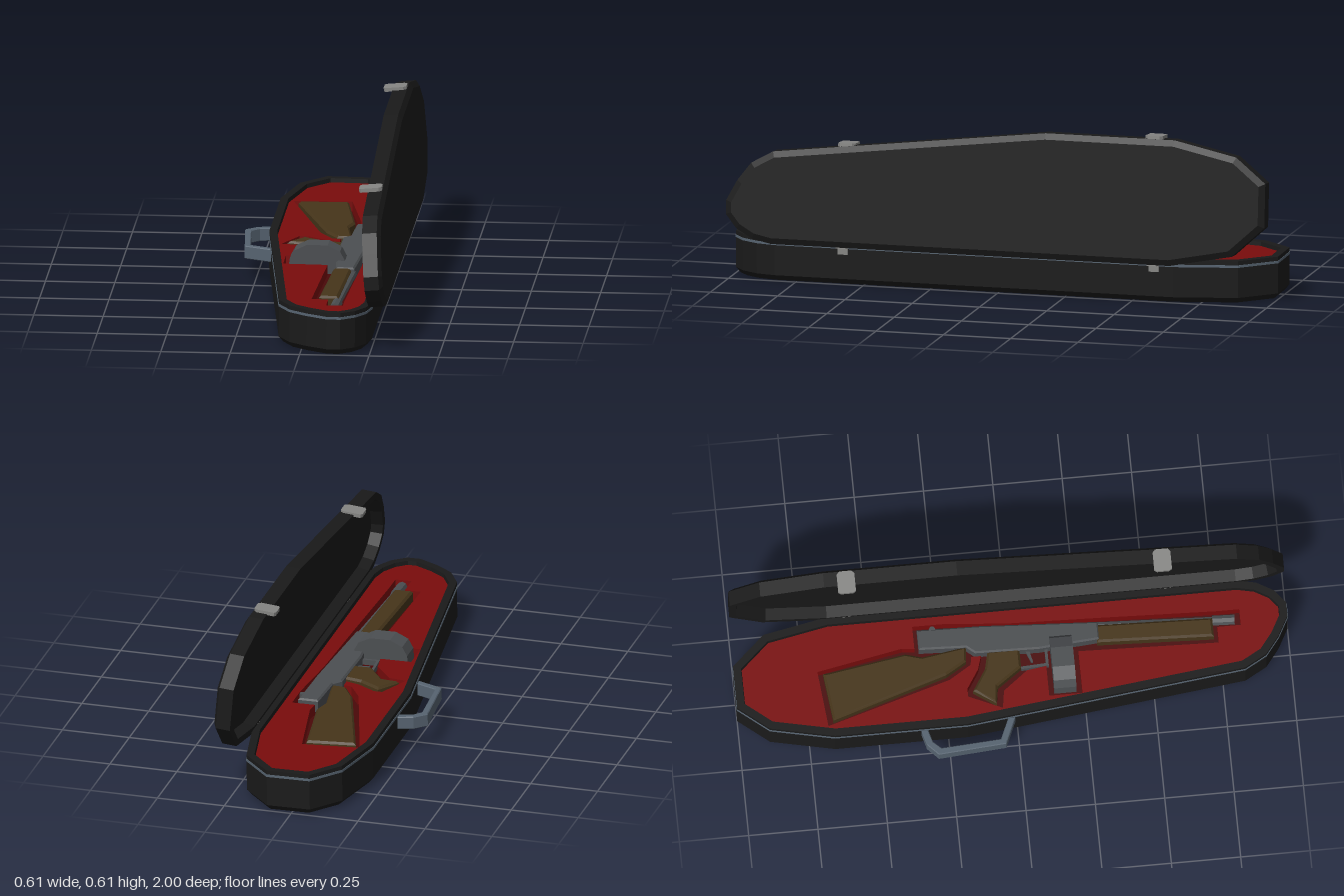
import * as THREE from 'three';

const mat = (color, extra = {}) => new THREE.MeshStandardMaterial({ color, flatShading: true, roughness: 0.9, ...extra });
const black = mat(0x1a1a1a), red = mat(0x7a0c0c), darkRed = mat(0x4a0808), wood = mat(0x46351a);
const metal = mat(0x4c4f52), steel = mat(0x566370), clasp = mat(0x858583);

// Plan outline of the case as [x, z]
const OUTLINE = [[-0.07, -1], [-0.16, -0.89], [-0.21, -0.66], [-0.21, -0.18], [-0.09, 0.83], [-0.045, 0.91],
  [0.02, 0.96], [0.095, 1], [0.145, 1], [0.195, 0.96], [0.23, 0.9], [0.245, 0.83], [0.245, -0.65], [0.2, -0.88], [0.09, -1]];

// Moves every edge of the outline inwards by d
function inset(points, d) {
  const n = points.length;
  const normal = (a, b) => {
    const dx = b[0] - a[0], dz = b[1] - a[1], l = Math.hypot(dx, dz);
    return [dz / l, -dx / l];
  };
  return points.map((p, i) => {
    const a = normal(points[(i + n - 1) % n], p), b = normal(p, points[(i + 1) % n]);
    const k = d / (1 + a[0] * b[0] + a[1] * b[1]);
    return [p[0] + (a[0] + b[0]) * k, p[1] + (a[1] + b[1]) * k];
  });
}

// Skins a list of [inset, height] rings and closes both ends
function shell(profile, capped = true) {
  const rings = profile.map(([d, y]) => inset(OUTLINE, d).map(([x, z]) => [x, y, z]));
  const pos = [], n = OUTLINE.length, last = rings.length - 1;
  const tri = (...v) => v.forEach((p) => pos.push(...p));
  for (let i = 0; i < n; i++) {
    const j = (i + 1) % n;
    for (let r = 0; r < last; r++) {
      const a = rings[r], b = rings[r + 1];
      tri(a[i], a[j], b[j]);
      tri(a[i], b[j], b[i]);
    }
    if (capped) {
      tri([0.04, profile[0][1], 0], rings[0][j], rings[0][i]);
      tri([0.04, profile[last][1], 0], rings[last][i], rings[last][j]);
    }
  }
  const g = new THREE.BufferGeometry();
  g.setAttribute('position', new THREE.Float32BufferAttribute(pos, 3));
  g.computeVertexNormals();
  return g;
}

// Raises a plan shape of [x, z] points from y0 to y1, with an optional bevel
function plate(points, y0, y1, bevel = 0, hole = null) {
  const vec = (list) => list.map(([x, z]) => new THREE.Vector2(x, -z));
  const shape = new THREE.Shape(vec(points));
  if (hole) shape.holes.push(new THREE.Path(vec(hole)));
  const g = new THREE.ExtrudeGeometry(shape, {
    depth: y1 - y0 - 2 * bevel, bevelEnabled: bevel > 0, bevelSize: bevel,
    bevelThickness: bevel, bevelOffset: -bevel, bevelSegments: 1,
  });
  return g.rotateX(-Math.PI / 2).translate(0, y0 + bevel, 0);
}

function add(parent, name, geometry, material, x = 0, y = 0, z = 0) {
  const m = new THREE.Mesh(geometry, material);
  m.name = name;
  m.position.set(x, y, z);
  parent.add(m);
  return m;
}

function buildBase() {
  const base = new THREE.Group();
  base.name = 'base';
  add(base, 'baseShell', shell([[0.017, 0], [0, 0.02], [0, 0.155], [0.028, 0.155], [0.034, 0.095]]), black);
  add(base, 'seamStrip', shell([[0, 0.131], [-0.002, 0.131], [-0.002, 0.14], [0, 0.14]], false), steel);

  // Lining with a recess that follows the contents
  const recess = [[-0.165, -0.68], [0.045, -0.7], [0.105, -0.39], [0.1, -0.345], [0.185, -0.345], [0.185, -0.24],
    [0.165, 0], [0.155, 0.33], [0.14, 0.75], [0.14, 0.83], [0.08, 0.83], [0.08, 0.745], [0.02, 0.745], [0.035, 0.24],
    [-0.125, 0.24], [-0.125, 0.12], [-0.01, 0.12], [-0.02, 0.05], [-0.09, -0.04], [-0.155, -0.05], [-0.1, -0.17],
    [-0.07, -0.17], [0, -0.125], [0.05, -0.11], [0.05, -0.145], [0.02, -0.15], [-0.03, -0.23]];
  add(base, 'lining', plate(inset(OUTLINE, 0.03), 0.1, 0.14, 0, recess), red);
  add(base, 'recessFloor', plate(inset(OUTLINE, 0.04), 0.096, 0.102), darkRed);

  // Carrying handle on the long side
  add(base, 'handle', plate([[-0.19, -0.355], [-0.265, -0.335], [-0.307, -0.295], [-0.288, -0.05], [-0.19, -0.008],
    [-0.19, -0.034], [-0.268, -0.068], [-0.282, -0.283], [-0.255, -0.312], [-0.19, -0.33]], 0.08, 0.128, 0.003), steel);
  return base;
}

function buildContents() {
  const item = new THREE.Group();
  item.name = 'contents';
  add(item, 'stock', plate([[-0.145, -0.66], [0.035, -0.68], [0.083, -0.38], [0.066, -0.32], [0.09, -0.16],
    [0.035, -0.165], [-0.01, -0.24]], 0.1, 0.145, 0.008), wood);
  add(item, 'grip', plate([[-0.08, -0.15], [0, -0.1], [0.065, -0.085], [0.065, 0.03], [-0.005, 0.03],
    [-0.07, -0.06], [-0.135, -0.07]], 0.1, 0.145, 0.008), wood);
  add(item, 'foregrip', plate([[0.062, 0.31], [0.128, 0.31], [0.115, 0.73], [0.045, 0.73]], 0.1, 0.148, 0.008), wood);
  add(item, 'receiver', plate([[0.092, -0.33], [0.167, -0.33], [0.162, -0.1], [0.138, 0.32], [0.072, 0.32],
    [0.055, 0.1], [0.06, -0.13], [0.085, -0.16]], 0.1, 0.152, 0.006), metal);
  add(item, 'sideKnob', new THREE.CylinderGeometry(0.012, 0.012, 0.02, 6), metal, 0.165, 0.14, -0.275);

  // Tapered barrel with a thicker end
  const barrel = add(item, 'barrel', new THREE.CylinderGeometry(0.013, 0.016, 0.5, 8), metal, 0.12, 0.124, 0.55);
  const muzzle = add(item, 'barrelEnd', new THREE.CylinderGeometry(0.019, 0.019, 0.08, 8), metal, 0.11, 0.124, 0.77);
  barrel.rotation.set(Math.PI / 2, 0, 0.04);
  muzzle.rotation.set(Math.PI / 2, 0, 0.04);

  // Finger guard and lever
  add(item, 'guard', plate([[0.06, 0.13], [-0.005, 0.13], [-0.01, 0.03], [0, 0.03], [0.005, 0.12], [0.06, 0.12]], 0.11, 0.13), metal);
  add(item, 'lever', plate([[0.06, 0.05], [0.06, 0.065], [0.015, 0.075], [0.015, 0.068]], 0.115, 0.128), metal);

  // Faceted drum lying across the case
  const half = [[0.037, 0.1], [0.082, 0.078], [0.1, 0.045], [0.103, 0], [0.09, -0.025]];
  const pts = [...half, ...half.map(([x, y]) => [-x, y]).reverse()].map(([x, y]) => new THREE.Vector2(x, y));
  const drum = new THREE.ExtrudeGeometry(new THREE.Shape(pts), { depth: 0.08, bevelEnabled: false });
  add(item, 'drum', drum, metal, -0.004, 0.107, 0.14);
  return item;
}

function buildLid() {
  // Built closed around the hinge line, then swung open
  const lid = new THREE.Group();
  lid.name = 'lid';
  const body = shell([[0.032, 0.042], [0.025, 0], [0, 0], [0, 0.053], [0.022, 0.065]]);
  add(lid, 'lidShell', body.translate(-0.245, 0, 0), black);
  for (const [x, z] of [[-0.459, -0.58], [-0.371, 0.56]]) {
    const tab = [[-0.03, -0.032], [0.035, -0.032], [0.046, -0.022], [0.046, 0.022], [0.035, 0.032], [-0.03, 0.032], [-0.036, 0.022], [-0.036, -0.022]];
    const g = plate(tab, -0.007, 0.007).rotateZ(Math.PI / 2);
    add(lid, 'clasp', g, clasp, x, 0.005, z);
  }
  lid.position.set(0.243, 0.14, 0);
  lid.rotation.z = -1.482;
  return lid;
}

export function createModel() {
  const model = new THREE.Group();
  model.name = 'openCase';
  const lower = new THREE.Group();
  lower.name = 'lowerCase';
  lower.add(buildBase(), buildContents());
  lower.rotation.z = -0.011;
  lower.position.y = 0.0025;
  model.add(lower, buildLid());

  // Hinges: one leaf on the base, one under the lid
  for (const z of [-0.58, 0.575]) {
    const hinge = new THREE.Group();
    hinge.name = 'hinge';
    add(hinge, 'lowerLeaf', new THREE.BoxGeometry(0.012, 0.045, 0.038), clasp, 0.247, 0.133, z);
    add(hinge, 'upperLeaf', new THREE.BoxGeometry(0.042, 0.009, 0.038), clasp, 0.259, 0.14, z).rotation.z = 0.09;
    model.add(hinge);
  }
  return model;
}
